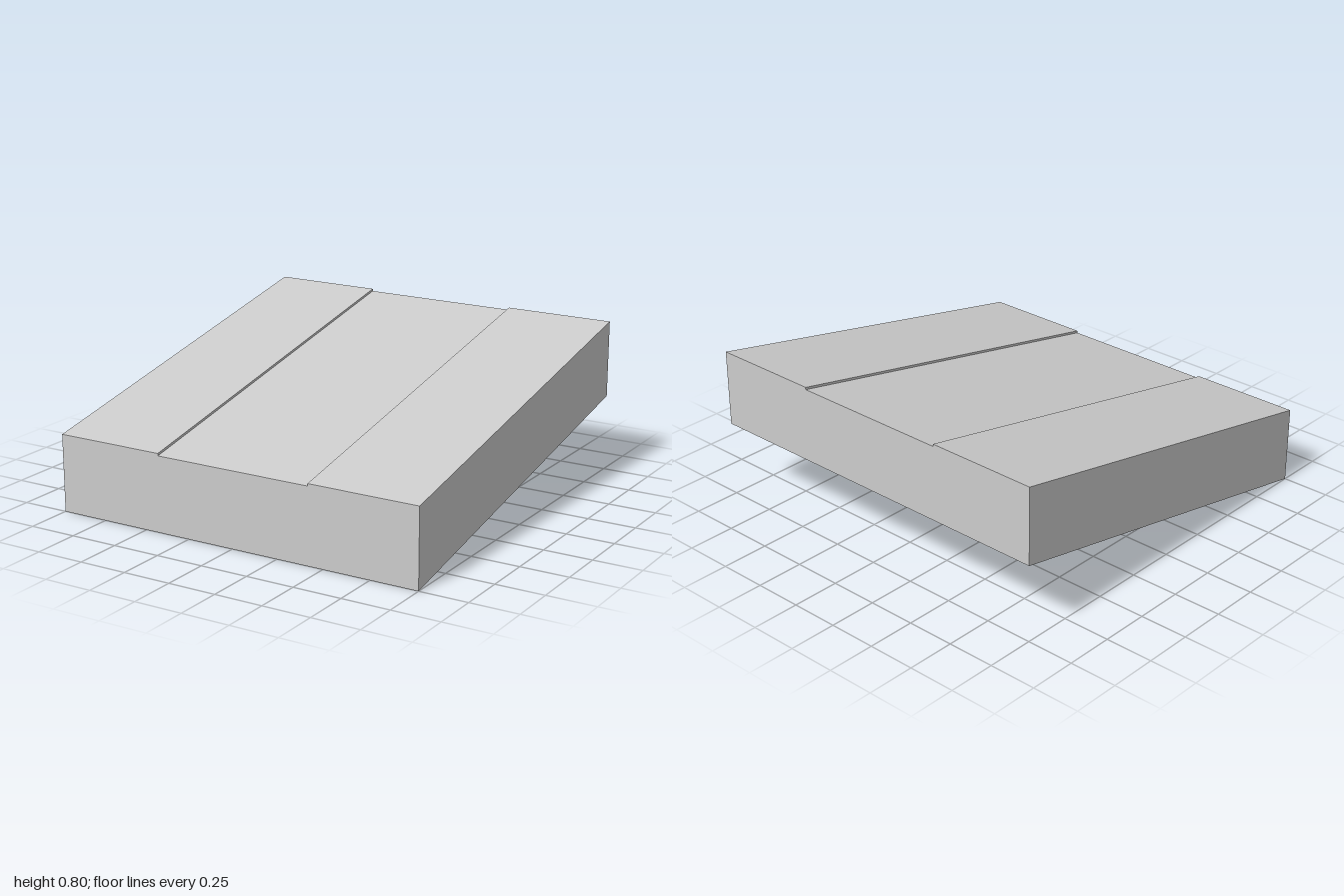
import * as THREE from 'three';

const HALF = 1, HEIGHT = 0.4, ROAD = 0.42, DROP = 0.012, SLOPE = 0.2;

export function createModel() {
  const group = new THREE.Group();
  group.name = 'slopedRoadTile';
  const material = new THREE.MeshStandardMaterial({
    color: 0xcccccc, flatShading: true, side: THREE.DoubleSide,
  });

  // Shears a part so that it climbs towards the back
  const add = (name, geometry) => {
    const p = geometry.attributes.position;
    for (let i = 0; i < p.count; i++) p.setY(i, p.getY(i) + SLOPE * (HALF - p.getZ(i)));
    geometry.computeVertexNormals();
    const mesh = new THREE.Mesh(geometry, material);
    mesh.name = name;
    group.add(mesh);
  };

  // Level strip running front to back between two x positions
  const strip = (name, x0, x1, y) => add(name,
    new THREE.PlaneGeometry(x1 - x0, 2 * HALF).rotateX(-Math.PI / 2).translate((x0 + x1) / 2, y, 0));

  // Upright strip running front to back, facing +x (side 1) or -x (side -1)
  const upright = (name, x, y0, y1, side) => add(name,
    new THREE.PlaneGeometry(2 * HALF, y1 - y0).rotateY(side * Math.PI / 2).translate(x, (y0 + y1) / 2, 0));

  // Road surface, slightly sunk between the pavements
  strip('road', -ROAD, ROAD, HEIGHT - DROP);
  strip('leftPavement', ROAD, HALF, HEIGHT);
  strip('rightPavement', -HALF, -ROAD, HEIGHT);

  // Kerbs and outer side walls
  for (const [label, s] of [['left', 1], ['right', -1]]) {
    upright(label + 'Kerb', s * ROAD, HEIGHT - DROP, HEIGHT, -s);
    upright(label + 'Wall', s * HALF, 0, HEIGHT, s);
  }

  // End walls, notched where the road is sunk; the underside stays open
  const outline = new THREE.Shape([
    [-HALF, 0], [HALF, 0], [HALF, HEIGHT], [ROAD, HEIGHT], [ROAD, HEIGHT - DROP],
    [-ROAD, HEIGHT - DROP], [-ROAD, HEIGHT], [-HALF, HEIGHT],
  ].map(([x, y]) => new THREE.Vector2(x, y)));
  add('frontWall', new THREE.ShapeGeometry(outline).translate(0, 0, HALF));
  add('backWall', new THREE.ShapeGeometry(outline).rotateY(Math.PI).translate(0, 0, -HALF));

  return group;
}
